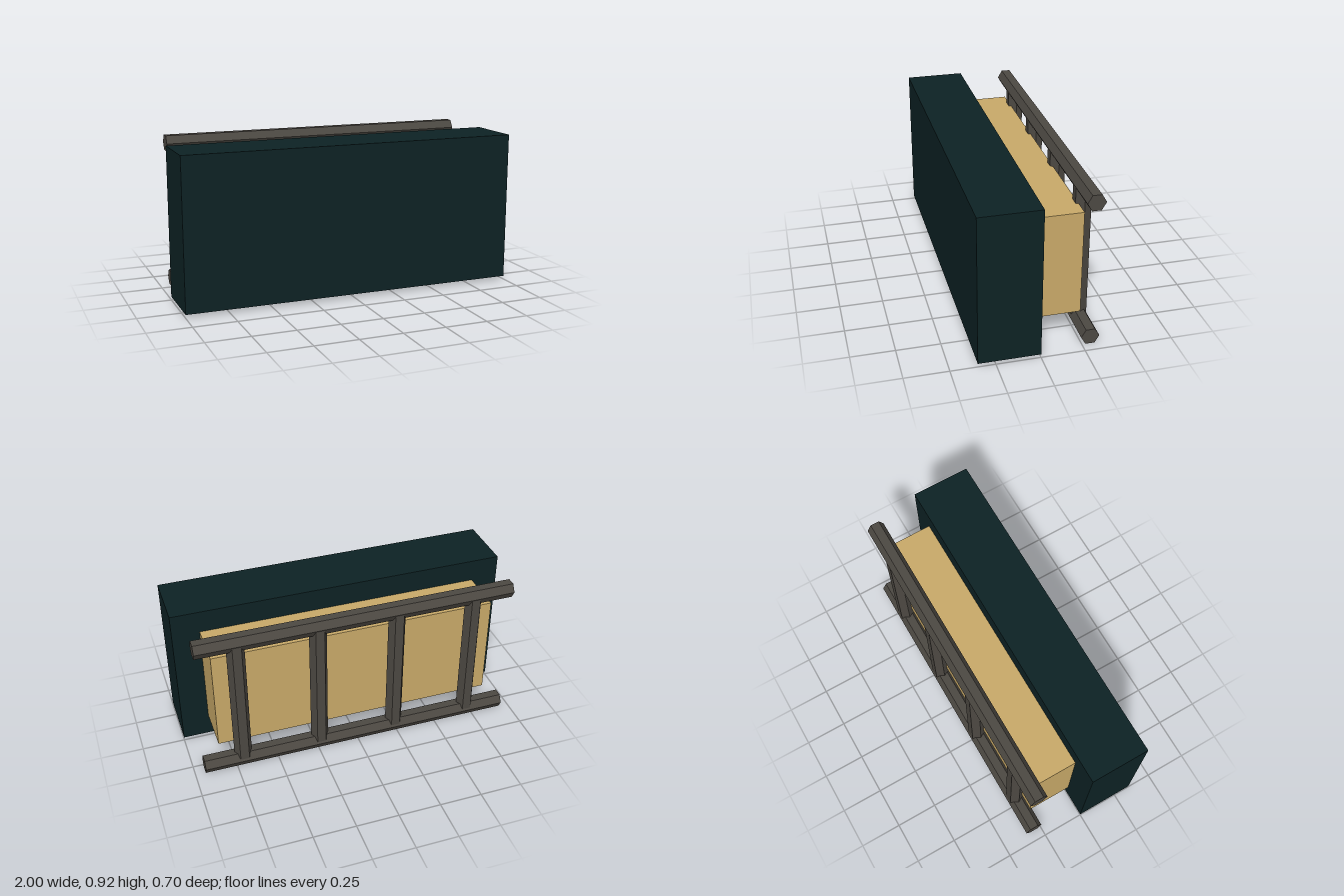
import * as THREE from 'three';

export function createModel() {
  const group = new THREE.Group();
  const material = (name, color) => {
    const m = new THREE.MeshStandardMaterial({ color, flatShading: true });
    m.name = name;
    return m;
  };
  const darkTeal = material('dark teal', 0x0d2224);
  const sand = material('sand', 0xc8a968);
  const darkMetal = material('dark metal', 0x4c4842);

  const add = (name, geometry, mat, x, y, z) => {
    const mesh = new THREE.Mesh(geometry, mat);
    mesh.name = name;
    mesh.position.set(x, y, z);
    group.add(mesh);
    return mesh;
  };

  // Main block and the smaller box behind it
  add('frontBlock', new THREE.BoxGeometry(2, 0.88, 0.35), darkTeal, 0, 0.46, 0.174);
  add('backBox', new THREE.BoxGeometry(1.68, 0.617, 0.267), sand, 0, 0.459, -0.134);

  // Ladder frame of hexagonal bars
  const frameZ = -0.297, radius = 0.052, lowY = 0.045, highY = 0.87;
  const bar = (length) => new THREE.CylinderGeometry(radius, radius, length, 6);

  for (const [name, y] of [['lowerRail', lowY], ['upperRail', highY]]) {
    add(name, bar(1.88), darkMetal, 0, y, frameZ).rotation.z = Math.PI / 2;
  }

  // Uprights, with an edge facing each side
  for (let i = 0; i < 4; i++) {
    const post = add('post' + (i + 1), bar(highY - lowY), darkMetal,
      (i - 1.5) * 0.47, (lowY + highY) / 2, frameZ);
    post.rotation.y = Math.PI / 6;
  }

  return group;
}
